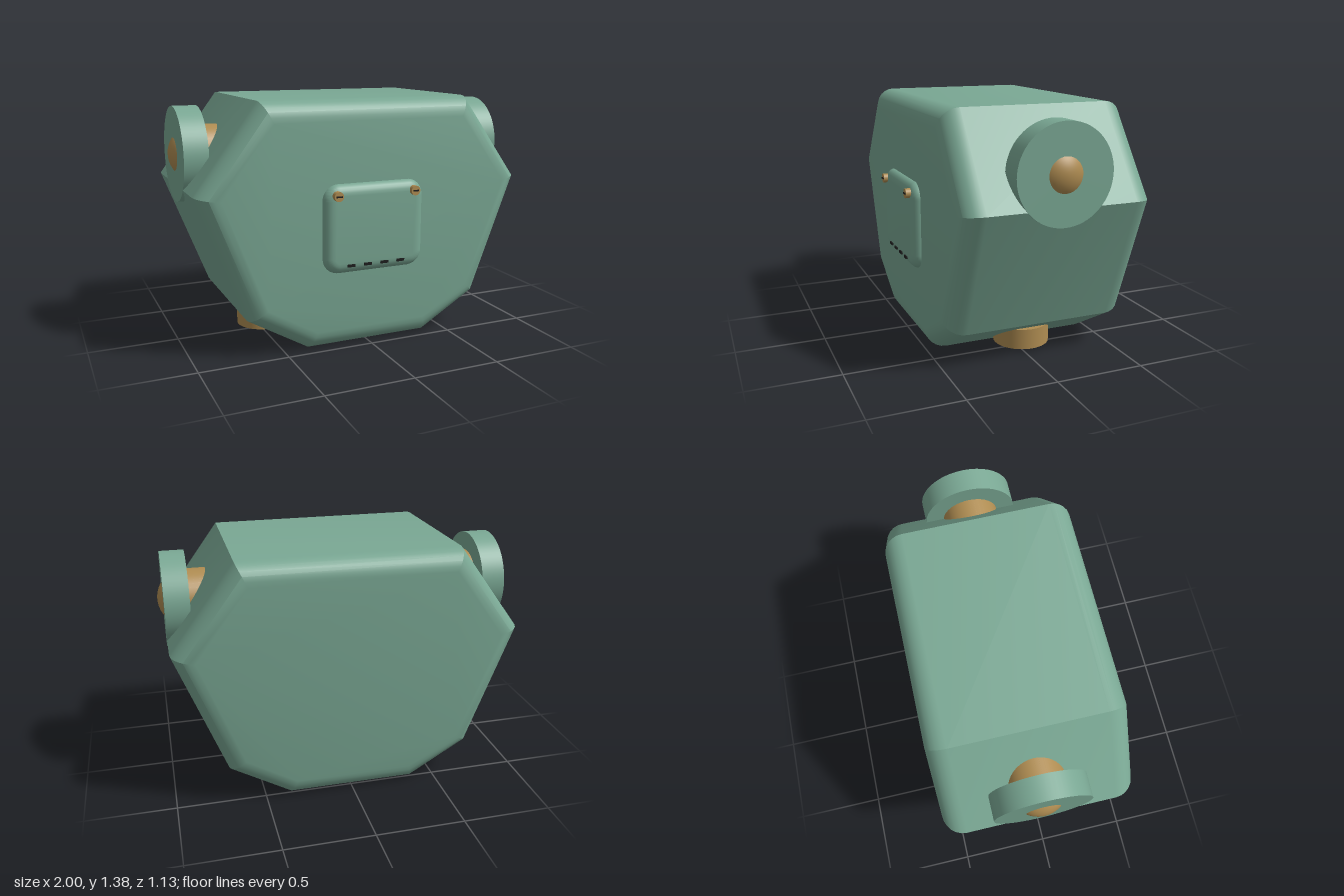
import * as THREE from 'three';
import { toCreasedNormals } from 'three/addons/utils/BufferGeometryUtils.js';

const green = new THREE.MeshStandardMaterial({ color: 0x7aa894 });
const brass = new THREE.MeshStandardMaterial({ color: 0xb08d52 });
const dark = new THREE.MeshStandardMaterial({ color: 0x1c1c1c });
const AXIS_Z = -0.035;

// Extrusion from z0 to z1 whose rounded rims stay inside the outline
function roundedExtrude(shape, z0, z1, size, thickness, backRim = true) {
  const geo = new THREE.ExtrudeGeometry(shape, {
    depth: z1 - z0 - 2 * thickness, bevelEnabled: true, bevelSegments: 6,
    bevelSize: size, bevelThickness: thickness, bevelOffset: -size, curveSegments: 8,
  });
  geo.translate(0, 0, z0 + thickness);
  return toCreasedNormals(geo, 0.4);
}

function roundedRect(x0, y0, x1, y1, r) {
  const s = new THREE.Shape();
  s.absarc(x1 - r, y0 + r, r, -Math.PI / 2, 0);
  s.absarc(x1 - r, y1 - r, r, 0, Math.PI / 2);
  s.absarc(x0 + r, y1 - r, r, Math.PI / 2, Math.PI);
  s.absarc(x0 + r, y0 + r, r, Math.PI, Math.PI * 1.5);
  return s;
}

export function createModel() {
  const group = new THREE.Group();
  const add = (name, geo, mat, x = 0, y = 0, z = 0) => {
    const mesh = new THREE.Mesh(geo, mat);
    mesh.name = name;
    mesh.position.set(x, y, z);
    group.add(mesh);
    return mesh;
  };

  // Eight-sided torso with rounded front and back rims
  const half = [[0.36, 0], [0.70, 0.20], [0.97, 0.90], [0.615, 1.38]];
  const outline = [...half, ...half.map(([x, y]) => [-x, y]).reverse()];
  const torso = new THREE.Shape(outline.map(([x, y]) => new THREE.Vector2(x, y)));
  add('torso', roundedExtrude(torso, -0.565, 0.495, 0.11, 0.115), green);

  // Shoulder axle with domed ends
  const axle = new THREE.CapsuleGeometry(0.16, 1.68, 12, 40);
  axle.rotateZ(Math.PI / 2);
  add('shoulderAxle', axle, brass, 0, 1.07, AXIS_Z);

  const disc = new THREE.CylinderGeometry(0.265, 0.265, 0.135, 64);
  disc.rotateZ(Math.PI / 2);
  const hip = new THREE.CylinderGeometry(0.157, 0.157, 0.115, 48);
  const screw = new THREE.CylinderGeometry(0.027, 0.027, 0.03, 24);
  screw.rotateX(Math.PI / 2);
  const screwSlot = new THREE.BoxGeometry(0.034, 0.008, 0.008);

  for (const [side, s] of [['left', 1], ['right', -1]]) {
    add(side + 'ShoulderDisc', disc, green, s * 0.9025, 1.07, AXIS_Z);
    add(side + 'HipSocket', hip, brass, s * 0.473, 0.0825, AXIS_Z);
    // Panel screws
    add(side + 'Screw', screw, brass, s * 0.23, 0.878, 0.548);
    add(side + 'ScrewSlot', screwSlot, dark, s * 0.23, 0.878, 0.563);
  }

  // Chest panel, partly sunk into the torso
  const panel = roundedRect(-0.3, 0.44, 0.3, 0.935, 0.09);
  add('chestPanel', roundedExtrude(panel, 0.4, 0.54, 0.06, 0.05), green);

  // Row of vents along the bottom of the panel
  const vent = new THREE.BoxGeometry(0.045, 0.014, 0.012);
  for (let i = 0; i < 4; i++) add('vent' + (i + 1), vent, dark, -0.15 + i * 0.1, 0.488, 0.542);

  return group;
}
